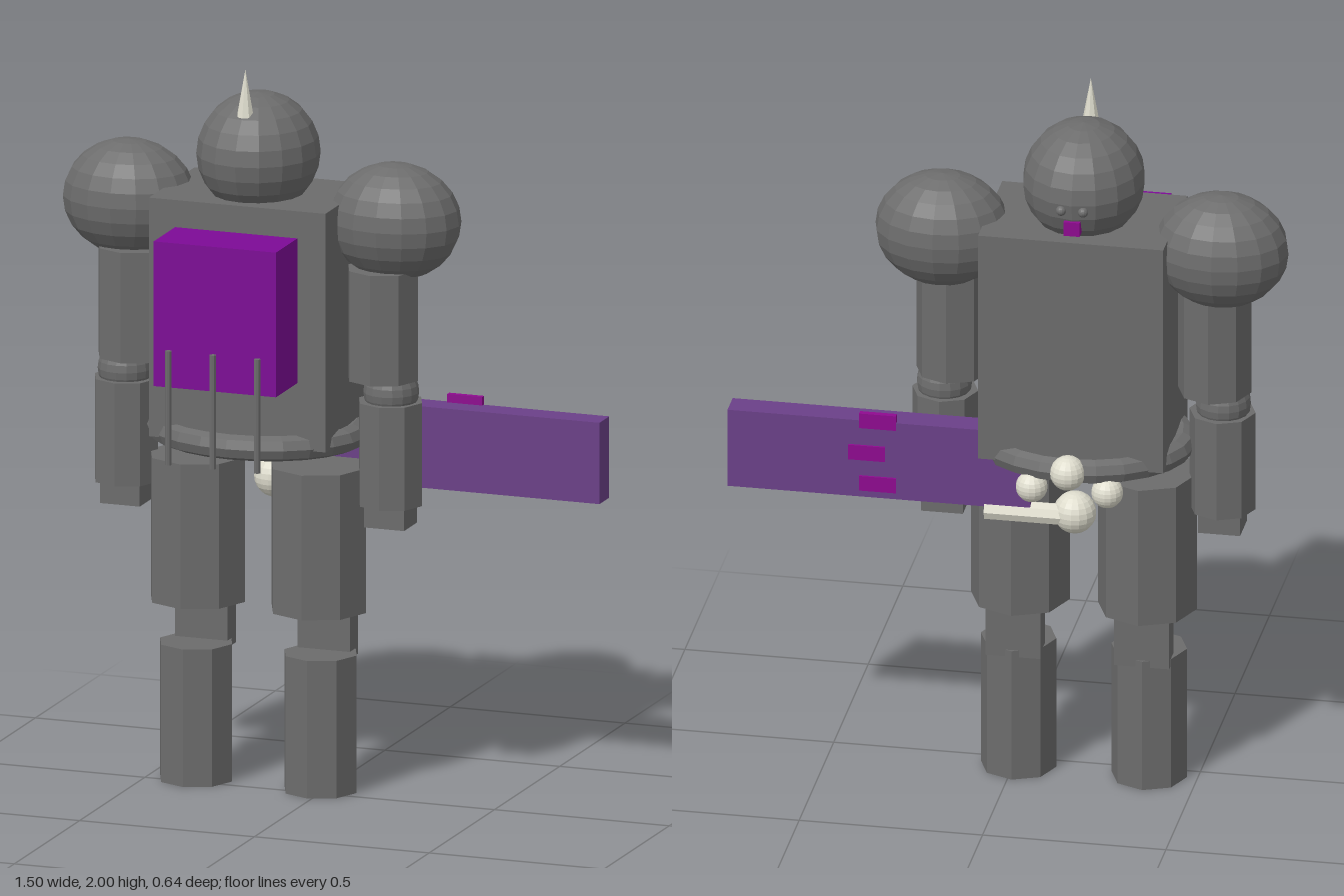
import * as THREE from 'three';

const flat = (name, color) => {
  const m = new THREE.MeshStandardMaterial({ color, flatShading: true });
  m.name = name;
  return m;
};

export function createModel() {
  const armour = flat('armour grey', 0x6c6c6c);
  const purple = flat('pack purple', 0x7d0a96);
  const blade = flat('blade violet', 0x6b4088);
  const magenta = flat('magenta', 0x8f0a90);
  const bone = flat('bone white', 0xdedccd);

  const model = new THREE.Group();
  const CX = -0.19; // body axis
  const CZ = -0.04;

  const add = (name, geometry, material, x, y, z) => {
    const mesh = new THREE.Mesh(geometry, material);
    mesh.name = name;
    mesh.position.set(x, y, z);
    model.add(mesh);
    return mesh;
  };
  // box given by its extents
  const box = (name, mat, x0, x1, y0, y1, z0, z1) =>
    add(name, new THREE.BoxGeometry(x1 - x0, y1 - y0, z1 - z0), mat,
      (x0 + x1) / 2, (y0 + y1) / 2, (z0 + z1) / 2);
  const ball = (name, mat, x, y, z, rx, ry = rx, rz = rx) =>
    add(name, new THREE.SphereGeometry(1, 16, 12).scale(rx, ry, rz), mat, x, y, z);
  // upright octagonal prism
  const prism = (name, mat, x, y0, y1, z, r, sides = 8) =>
    add(name, new THREE.CylinderGeometry(r, r, y1 - y0, sides), mat, x, (y0 + y1) / 2, z);

  // torso, belt and head
  box('torso', armour, -0.44, 0.065, 0.98, 1.64, -0.22, 0.13);
  const ring = new THREE.TorusGeometry(0.27, 0.035, 8, 24).rotateX(Math.PI / 2);
  add('belt', ring.scale(1, 1, 0.82), armour, CX, 0.985, CZ);
  ball('head', armour, CX, 1.748, CZ, 0.165, 0.167, 0.18);
  add('horn', new THREE.ConeGeometry(0.024, 0.13, 8), bone, CX, 1.935, 0.06);
  box('mouth', magenta, CX - 0.022, CX + 0.022, 1.66, 1.7, -0.22, -0.18);

  // backpack and its pipes
  box('backpack', purple, -0.365, -0.015, 1.165, 1.565, 0.13, 0.295);
  for (const dx of [-0.127, 0, 0.127]) prism('pipe', armour, CX + dx, 0.955, 1.27, 0.31, 0.009);

  // mirrored limbs and small details
  for (const s of [-1, 1]) {
    const at = (d) => CX + s * d;
    ball('eye', armour, at(0.03), 1.73, -0.212, 0.014);
    ball('shoulder', armour, at(0.38), 1.585, -0.068, 0.183, 0.16, 0.148);
    prism('upperArm', armour, at(0.357), 1.155, 1.46, CZ, 0.1);
    ball('elbow', armour, at(0.38), 1.12, CZ, 0.075);
    prism('forearm', armour, at(0.378), 0.81, 1.095, CZ, 0.09);
    box('hand', armour, at(0.378) - 0.057, at(0.378) + 0.057, 0.75, 0.83, -0.09, 0.01);
    prism('thigh', armour, at(0.173), 0.5, 0.9, CZ, 0.135);
    box('knee', armour, at(0.175) - 0.075, at(0.175) + 0.075, 0.36, 0.52, -0.135, -0.07);
    prism('lowerLeg', armour, at(0.178), 0, 0.38, CZ, 0.103);
    ball('sideOrb', bone, at(0.103), 0.925, -0.25, 0.043);
  }

  // bone ornaments: centre orb and a ball-ended rod
  ball('centreOrb', bone, CX, 0.985, -0.275, 0.048);
  ball('rodBall', bone, CX, 0.822, -0.172, 0.058);
  const rod = new THREE.CylinderGeometry(0.03, 0.03, 0.24, 8).rotateZ(Math.PI / 2);
  add('rod', rod, bone, -0.07, 0.82, -0.19);

  // broad blade with three tabs
  box('blade', blade, -0.075, 0.75, 0.835, 1.06, -0.21, -0.135);
  [[0.29, 1.04], [0.32, 0.945], [0.29, 0.855]].forEach(([x, y]) =>
    box('bladeTab', magenta, x, x + 0.1, y, y + 0.043, -0.216, -0.2));

  return model;
}
